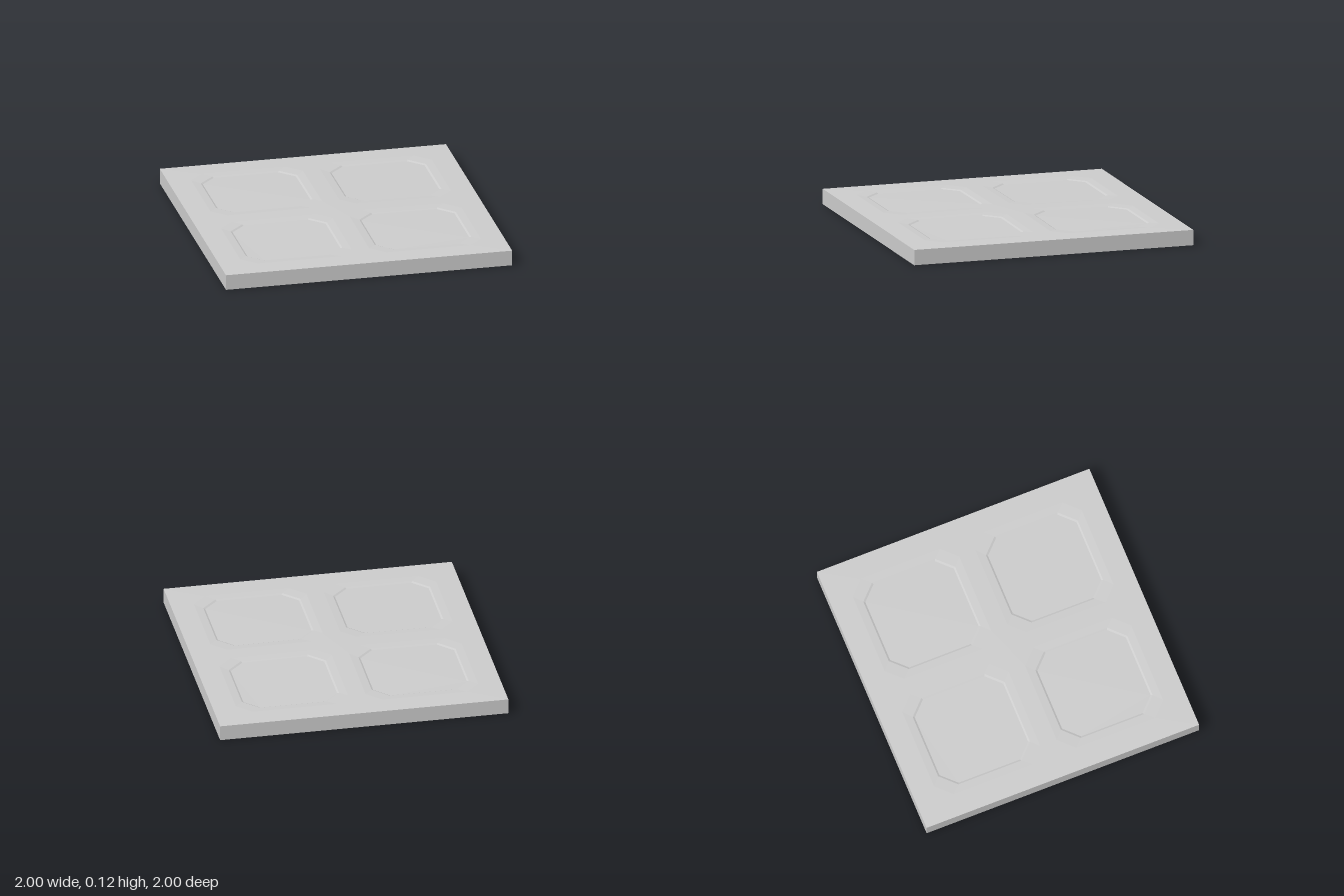
import * as THREE from 'three';

const EDGE = 0.107;   // slab height at its rim
const CROWN = 0.008;  // gentle rise towards the middle
const PANEL = 0.45;   // panel centre within a quadrant

// Octagon: a square of the given half size with cut corners
function octagon(half, cut) {
  const a = half, b = half - cut;
  return [[a, -b], [a, b], [b, a], [-b, a], [-a, b], [-a, -b], [-b, -a], [b, -a]]
    .map(([x, y]) => new THREE.Vector2(PANEL + x, PANEL + y));
}

// Lay a plan-view geometry onto the crowned top; its z is the offset from the surface
function layOnTop(geometry, offset = 0) {
  const p = geometry.attributes.position;
  for (let i = 0; i < p.count; i++) {
    const rise = CROWN * (1 - Math.max(p.getX(i), p.getY(i)));
    p.setZ(i, EDGE + rise + p.getZ(i) + offset);
  }
  geometry.rotateX(-Math.PI / 2);
  geometry.computeVertexNormals();
  return geometry;
}

// Sloping band between two octagonal rings
function band(outer, inner, zOuter, zInner) {
  const positions = [], index = [], n = outer.length;
  outer.forEach(v => positions.push(v.x, v.y, zOuter));
  inner.forEach(v => positions.push(v.x, v.y, zInner));
  for (let i = 0; i < n; i++) {
    const j = (i + 1) % n;
    index.push(i, j, n + i, j, n + j, n + i);
  }
  const g = new THREE.BufferGeometry();
  g.setAttribute('position', new THREE.Float32BufferAttribute(positions, 3));
  g.setIndex(index);
  return layOnTop(g);
}

export function createModel() {
  const group = new THREE.Group();
  const material = new THREE.MeshStandardMaterial({ color: 0xcccccc, flatShading: true });
  const add = (parent, name, geometry) => {
    const mesh = new THREE.Mesh(geometry, material);
    mesh.name = name;
    parent.add(mesh);
    return mesh;
  };

  // Slab sides and underside (the top face is left out)
  const box = new THREE.BoxGeometry(2, EDGE, 2).translate(0, EDGE / 2, 0);
  const faces = Array.from(box.index.array);
  faces.splice(12, 6);
  box.setIndex(faces);
  box.clearGroups();
  add(group, 'slab', box);

  // Rings of one panel, from the frame inwards
  const rim = octagon(0.39, 0.1);
  const lip = octagon(0.337, 0.105);
  const floor = octagon(0.325, 0.1);

  const square = new THREE.Shape([[0, 0], [1, 0], [1, 1], [0, 1]].map(c => new THREE.Vector2(...c)));
  square.holes.push(new THREE.Path(rim));

  const parts = {
    frame: layOnTop(new THREE.ShapeGeometry(square)),
    panelSlope: band(rim, lip, 0, -0.004),
    panelBevel: band(lip, floor, -0.004, -0.01),
    panelFloor: layOnTop(new THREE.ShapeGeometry(new THREE.Shape(floor)), -0.01),
  };

  // The same quarter turned into all four corners
  for (let i = 0; i < 4; i++) {
    const quarter = new THREE.Group();
    quarter.name = 'topQuarter';
    quarter.rotation.y = i * Math.PI / 2;
    for (const [name, geometry] of Object.entries(parts)) add(quarter, name, geometry);
    group.add(quarter);
  }
  return group;
}
